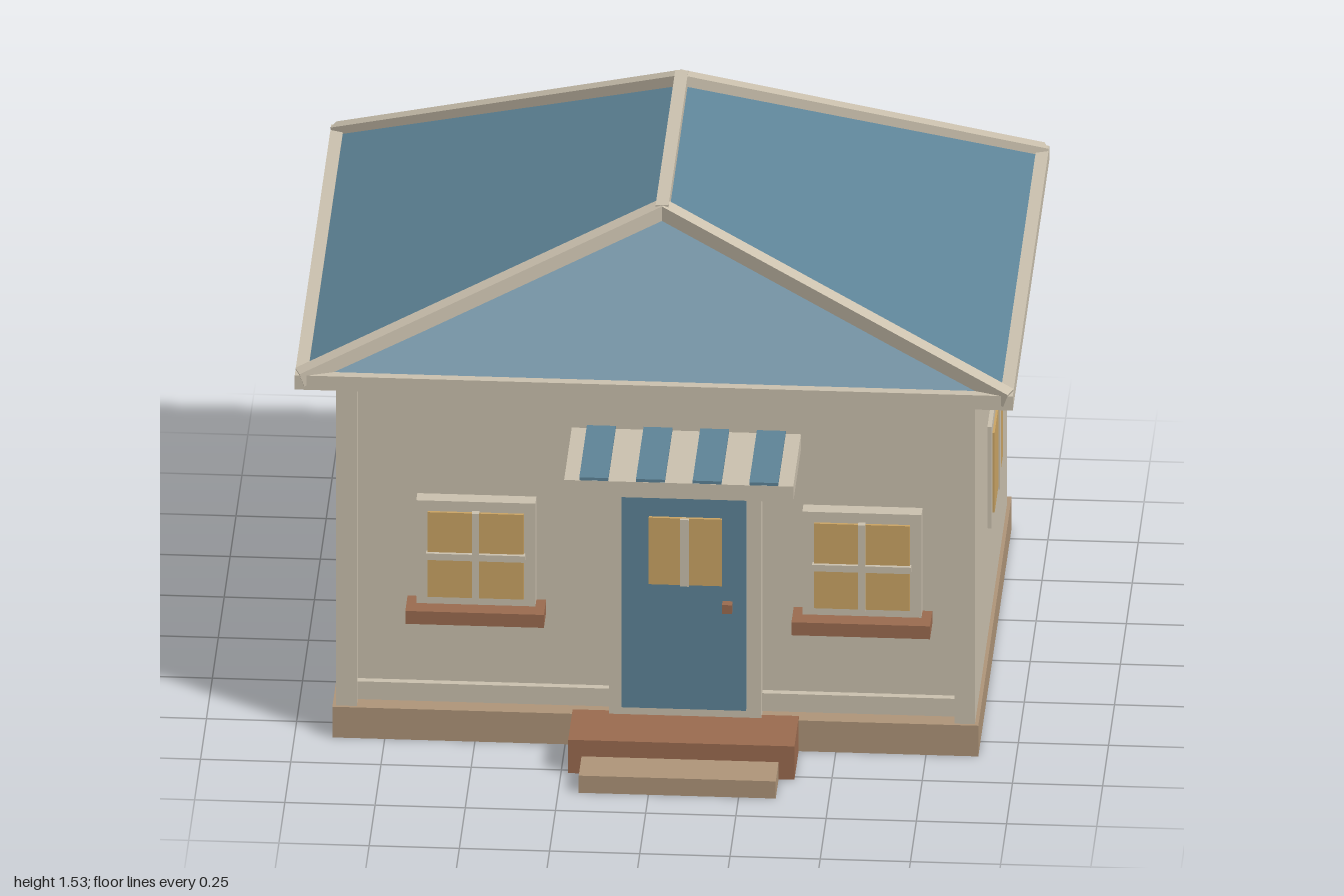
import * as THREE from 'three';

const mat = (name, color, extra = {}) => {
  const m = new THREE.MeshStandardMaterial({ color, ...extra });
  m.name = name;
  return m;
};

export function createModel() {
  const cream = mat('cream plaster', 0xcdc3b0);
  const blue = mat('slate blue', 0x5f8599);
  const amber = mat('amber glass', 0xcda665);
  const brown = mat('red brown wood', 0x9c6c50);
  const tan = mat('tan stone', 0xb0967a);

  const house = new THREE.Group();
  house.name = 'house';

  // Box given by its extents on each axis
  const box = (name, material, [x0, x1], [y0, y1], [z0, z1], parent = house) => {
    const mesh = new THREE.Mesh(new THREE.BoxGeometry(x1 - x0, y1 - y0, z1 - z0), material);
    mesh.position.set((x0 + x1) / 2, (y0 + y1) / 2, (z0 + z1) / 2);
    mesh.name = name;
    parent.add(mesh);
    return mesh;
  };
  // Rectangular beam between two points, kept upright
  const beam = (name, material, a, b, width, height) => {
    const mesh = new THREE.Mesh(new THREE.BoxGeometry(width, height, a.distanceTo(b)), material);
    mesh.position.copy(a).add(b).multiplyScalar(0.5);
    mesh.lookAt(b);
    mesh.name = name;
    house.add(mesh);
  };

  // Foundation and walls
  box('foundation', tan, [-0.895, 0.895], [0, 0.095], [-0.82, 0.592]);
  box('walls', cream, [-0.885, 0.885], [0.095, 1.145], [-0.78, 0.54]);

  // Trim on the front wall
  for (const s of [-1, 1]) {
    const x = [s * 0.885, s * 0.828].sort((a, b) => a - b);
    box('cornerPost', cream, x, [0.095, 1.11], [0.538, 0.583]);
  }
  box('frieze', cream, [-0.828, 0.828], [1.095, 1.14], [0.53, 0.57]);
  box('baseRailRight', cream, [-0.828, -0.128], [0.105, 0.16], [0.53, 0.56]);
  box('baseRailLeft', cream, [0.294, 0.828], [0.105, 0.16], [0.53, 0.56]);

  // Front windows with cross bars and sills
  for (const x of [-0.498, 0.572]) {
    const win = new THREE.Group();
    win.name = 'frontWindow';
    win.position.x = x;
    house.add(win);
    box('windowFrame', cream, [-0.165, 0.165], [0.415, 0.738], [0.53, 0.584], win);
    box('windowGlass', amber, [-0.133, 0.133], [0.444, 0.706], [0.584, 0.592], win);
    box('verticalBar', cream, [-0.01, 0.01], [0.44, 0.71], [0.584, 0.603], win);
    box('horizontalBar', cream, [-0.137, 0.137], [0.563, 0.583], [0.584, 0.602], win);
    box('windowSill', brown, [-0.192, 0.192], [0.38, 0.42], [0.53, 0.635], win);
  }

  // Side windows
  for (const s of [-1, 1]) {
    const win = new THREE.Group();
    win.name = s > 0 ? 'leftWindow' : 'rightWindow';
    house.add(win);
    const out = (a, b) => (s > 0 ? [a, b] : [-b, -a]);
    box('windowFrame', cream, out(0.87, 0.897), [0.437, 0.75], [-0.352, 0.056], win);
    box('windowGlass', amber, out(0.897, 0.903), [0.47, 0.717], [-0.322, 0.025], win);
    box('verticalBar', cream, out(0.897, 0.908), [0.46, 0.725], [-0.16, -0.137], win);
  }

  // Door
  box('doorFrame', cream, [-0.128, 0.294], [0.095, 0.9], [0.53, 0.6]);
  box('door', blue, [-0.092, 0.253], [0.134, 0.84], [0.58, 0.62]);
  box('doorGlass', amber, [-0.016, 0.187], [0.522, 0.728], [0.62, 0.629]);
  box('doorGlassBar', cream, [0.071, 0.096], [0.522, 0.728], [0.62, 0.638]);
  box('doorKnob', brown, [0.188, 0.216], [0.445, 0.472], [0.61, 0.645]);

  // Steps
  box('upperStep', brown, [-0.23, 0.397], [0, 0.103], [0.58, 0.768]);
  box('lowerStep', tan, [-0.193, 0.353], [0, 0.053], [0.76, 0.887]);

  // Striped awning
  box('awning', cream, [-0.235, 0.4], [0.907, 0.955], [0.53, 0.863]);
  for (let i = 0; i < 4; i++) {
    const x = -0.193 + i * 0.157;
    box('awningStripe', blue, [x, x + 0.08], [0.955, 0.964], [0.53, 0.862]);
  }

  // Hip roof: four slopes and a flat soffit
  const X = 0.98, Y = 1.14, top = 1.505, zf = 0.645, zb = -0.87, rf = 0.29, rb = -0.51;
  const FL = [X, Y, zf], FR = [-X, Y, zf], BL = [X, Y, zb], BR = [-X, Y, zb];
  const RF = [0, top, rf], RB = [0, top, rb];
  const tris = [
    FR, FL, RF, // front
    BL, BR, RB, // back
    FL, BL, RB, FL, RB, RF, // left
    BR, FR, RF, BR, RF, RB, // right
    FR, BR, BL, FR, BL, FL, // soffit
  ];
  const roofGeo = new THREE.BufferGeometry();
  roofGeo.setAttribute('position', new THREE.Float32BufferAttribute(tris.flat(), 3));
  roofGeo.computeVertexNormals();
  const roof = new THREE.Mesh(roofGeo, blue);
  roof.name = 'roof';
  house.add(roof);

  // Fascia boards around the eaves
  box('frontFascia', cream, [-0.995, 0.995], [1.108, 1.152], [0.62, 0.66]);
  box('backFascia', cream, [-0.995, 0.995], [1.108, 1.152], [-0.885, -0.848]);
  box('leftFascia', cream, [0.96, 0.995], [1.108, 1.152], [-0.848, 0.62]);
  box('rightFascia', cream, [-0.995, -0.96], [1.108, 1.152], [-0.848, 0.62]);

  // Ridge and hip boards
  box('ridgeBoard', cream, [-0.018, 0.018], [1.495, 1.534], [-0.525, 0.306]);
  for (const s of [-1, 1]) {
    for (const [zr, ze] of [[rf, zf], [rb, zb]]) {
      beam('hipBoard', cream, new THREE.Vector3(0, 1.513, zr), new THREE.Vector3(s * 0.982, 1.139, ze), 0.042, 0.042);
    }
  }

  return house;
}
